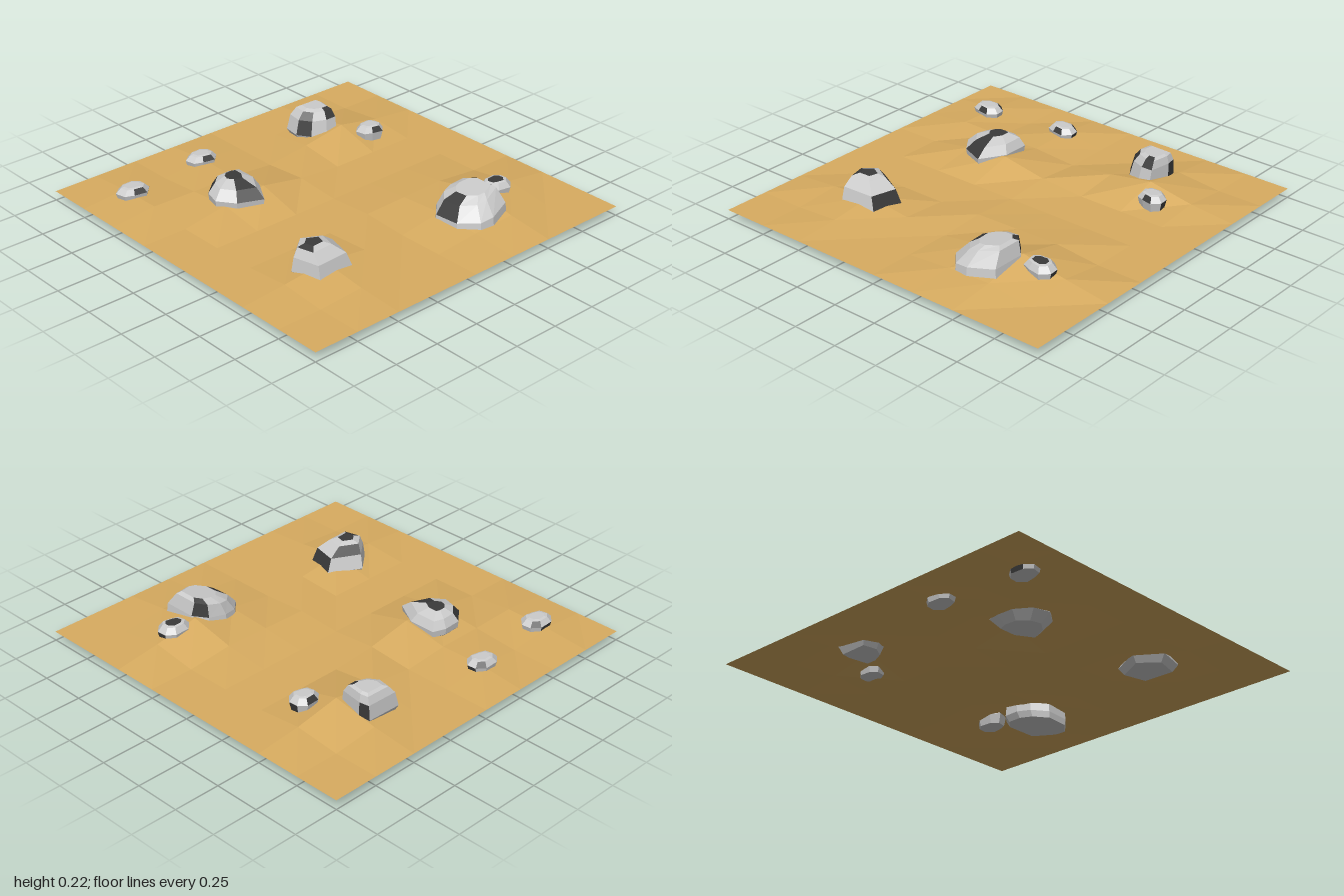
import * as THREE from 'three';

const grey = new THREE.MeshStandardMaterial({ color: 0xcccccc, flatShading: true });
const dark = new THREE.MeshStandardMaterial({ color: 0x3a3a3a, flatShading: true });
const sand = new THREE.MeshStandardMaterial({ color: 0xd8ac60, flatShading: true, side: THREE.DoubleSide });

// Low mounds that the rocks sit on: x, z, height
const mounds = [
  [-0.25, -0.25, 0.065], [-0.5, -0.25, 0.04], [-0.5, -0.5, 0.02], [-0.25, -0.5, 0.02],
  [0.5, 0.5, 0.08], [0.25, 0.5, 0.035], [0.5, 0.75, 0.03], [0.75, 0.5, 0.035], [0.25, 0.75, 0.02],
  [0.5, -0.5, 0.07], [0.25, -0.5, 0.03], [0.5, -0.75, 0.025], [0.75, -0.5, 0.025],
  [-0.5, 0.5, 0.045], [-0.75, 0.5, 0.02], [-0.25, 0.5, 0.015], [-0.5, 0.75, 0.015],
  [-0.25, -0.75, 0.025], [-0.75, -0.75, 0.02], [-0.75, -0.5, 0.025], [0, -0.25, 0.02],
  [0, 0.25, 0.015], [0.25, 0.25, 0.02], [0.5, 0.25, 0.025],
];

function makeGround() {
  const geo = new THREE.PlaneGeometry(2, 2, 8, 8).rotateX(-Math.PI / 2);
  const p = geo.attributes.position;
  for (let i = 0; i < p.count; i++) {
    const m = mounds.find(([x, z]) => Math.abs(x - p.getX(i)) + Math.abs(z - p.getZ(i)) < 0.01);
    p.setY(i, 0.055 + (m ? m[2] : 0));
  }
  geo.computeVertexNormals();
  const ground = new THREE.Mesh(geo, sand);
  ground.name = 'ground';
  return ground;
}

function facets(polygons, material, name) {
  const verts = [];
  for (const poly of polygons)
    for (let i = 1; i < poly.length - 1; i++) verts.push(...poly[0], ...poly[i], ...poly[i + 1]);
  const geo = new THREE.BufferGeometry();
  geo.setAttribute('position', new THREE.Float32BufferAttribute(verts, 3));
  geo.computeVertexNormals();
  const mesh = new THREE.Mesh(geo, material);
  mesh.name = name;
  return mesh;
}

// A rock lofted through scaled copies of its outline (counter-clockwise from above).
// rings: [y, scale, shift x, shift z, tilt along x]; darkFaces: 'ring,side' or 'top'
function makeRock({ name, outline, rings, darkFaces }) {
  const n = outline.length;
  const cx = outline.reduce((s, p) => s + p[0], 0) / n;
  const cz = outline.reduce((s, p) => s + p[1], 0) / n;
  const loops = rings.map(([y, k, dx = 0, dz = 0, tilt = 0]) => outline.map(([x, z]) => {
    const px = cx + (x - cx) * k + dx;
    return [px, y + tilt * (px - cx), cz + (z - cz) * k + dz];
  }));
  const light = [[...loops[0]].reverse()], patches = [];
  const add = (key, poly) => (darkFaces.includes(key) ? patches : light).push(poly);
  for (let r = 0; r < loops.length - 1; r++)
    for (let i = 0; i < n; i++) {
      const j = (i + 1) % n;
      add(`${r},${i}`, [loops[r][i], loops[r][j], loops[r + 1][j], loops[r + 1][i]]);
    }
  add('top', loops.at(-1));
  const rock = new THREE.Group();
  rock.name = name;
  rock.add(facets(light, grey, 'rockFaces'), facets(patches, dark, 'darkPatches'));
  return rock;
}

const boulders = [
  {
    name: 'backLeftBoulder',
    outline: [[-0.26, -0.27], [-0.26, -0.42], [-0.33, -0.445], [-0.43, -0.44], [-0.51, -0.37],
      [-0.535, -0.28], [-0.47, -0.19], [-0.34, -0.135]],
    rings: [[0.035, 0.65], [0.085, 0.97], [0.12, 1], [0.165, 0.74, 0.01, -0.01], [0.19, 0.32, 0.015, -0.02]],
    darkFaces: ['2,3', '2,6', '3,6', 'top'],
  },
  {
    name: 'frontLeftBoulder',
    outline: [[-0.4, 0.58], [-0.36, 0.42], [-0.53, 0.33], [-0.65, 0.43], [-0.61, 0.59]],
    rings: [[0.035, 0.8], [0.075, 1], [0.15, 0.86, -0.01], [0.197, 0.56, -0.03, -0.01], [0.21, 0.3, -0.03, -0.01]],
    darkFaces: ['1,0', '2,1', '3,3', 'top'],
  },
  {
    name: 'frontRightBoulder',
    outline: [[0.51, 0.71], [0.51, 0.52], [0.45, 0.45], [0.35, 0.43], [0.27, 0.45], [0.2, 0.52],
      [0.21, 0.66], [0.29, 0.75], [0.37, 0.76]],
    rings: [[0.02, 0.92, -0.01, 0, 0.1], [0.055, 1, 0, 0, 0.1], [0.12, 0.96, 0, 0, 0.12],
      [0.182, 0.72, 0.02, -0.02, 0.2], [0.205, 0.48, 0.04, -0.01, 0.15]],
    darkFaces: ['2,5', '3,5', '2,1', '3,1'],
  },
  {
    name: 'backRightBoulder',
    outline: [[0.48, -0.515], [0.5, -0.65], [0.49, -0.71], [0.3, -0.715], [0.285, -0.62],
      [0.33, -0.55], [0.41, -0.515]],
    rings: [[0.045, 0.8], [0.09, 1], [0.17, 0.9, 0.01, -0.005], [0.21, 0.7, 0.02, -0.01], [0.22, 0.5, 0.025, -0.015]],
    darkFaces: ['1,4', '2,4', '2,6', '3,6', '1,1'],
  },
];

// Small rocks share one rounded outline: x, z, half width, half depth, bottom, top
const stones = [
  ['frontRightStone', 0.62, 0.525, 0.085, 0.065, 0.07, 0.155, ['top', '1,4', '0,0']],
  ['backRightStone', 0.595, -0.38, 0.075, 0.062, 0.065, 0.145, ['1,2', '1,6', '0,0']],
  ['backStone', -0.265, -0.74, 0.083, 0.062, 0.05, 0.125, ['1,1', '1,6', '0,0']],
  ['backLeftStone', -0.745, -0.685, 0.086, 0.065, 0.05, 0.125, ['1,1', '1,6', '0,2']],
].map(([name, x, z, w, d, low, high, darkFaces]) => ({
  name,
  darkFaces,
  outline: [[1, 0.35], [0.95, -0.45], [0.45, -1], [-0.5, -0.95], [-1, -0.4], [-0.85, 0.5], [-0.3, 0.8], [0.5, 1]]
    .map(([a, b]) => [x + a * w, z + b * d]),
  rings: [[low, 0.85], [low + (high - low) * 0.6, 1], [high - 0.004, 0.7], [high, 0.5]],
}));

export function createModel() {
  const group = new THREE.Group();
  group.name = 'rockyGround';
  group.add(makeGround());
  for (const rock of [...boulders, ...stones]) group.add(makeRock(rock));
  // Rest the lowest rock on y = 0
  const box = new THREE.Box3().setFromObject(group);
  group.position.y = -box.min.y;
  return group;
}
